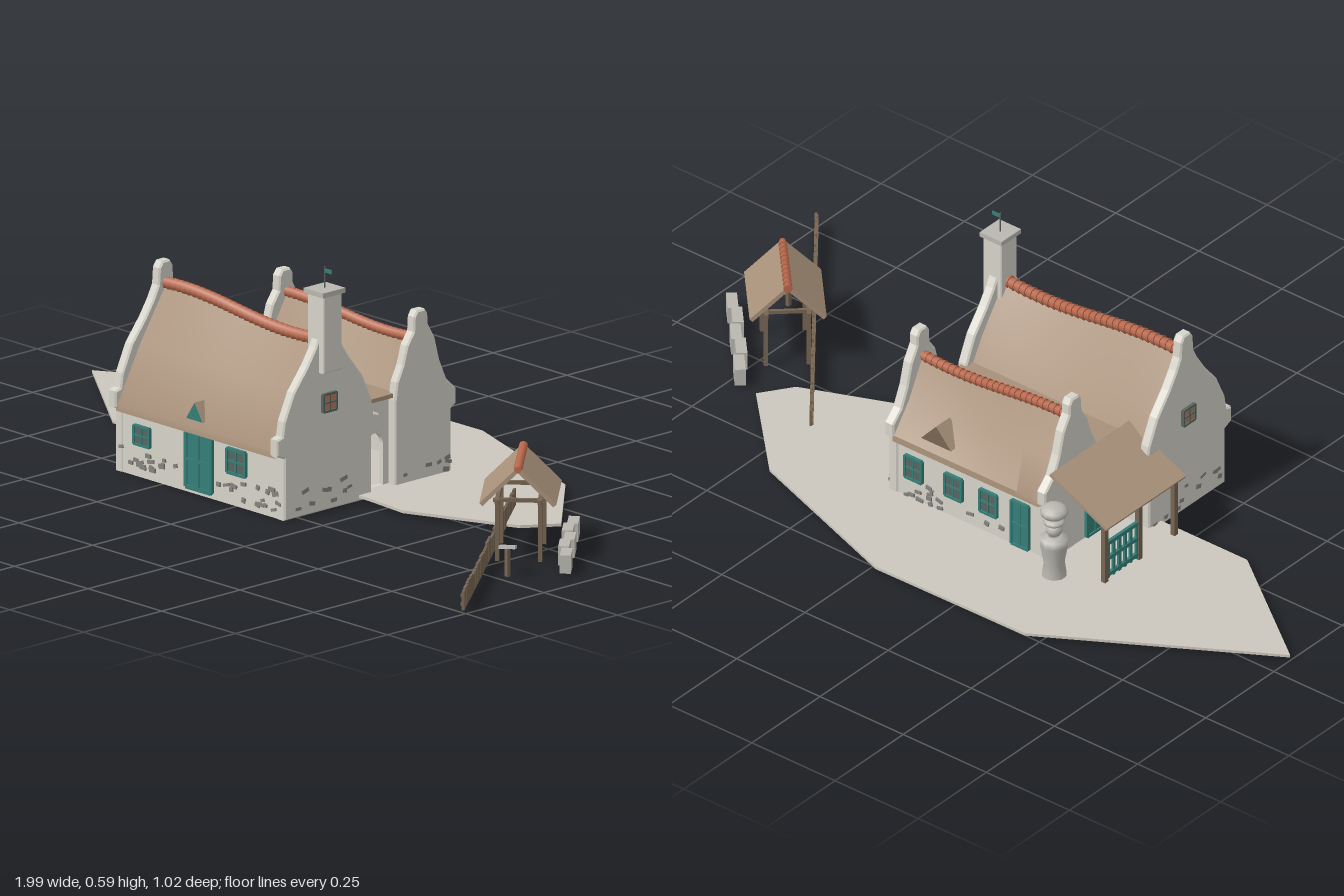
import * as THREE from 'three';
import { toCreasedNormals } from 'three/addons/utils/BufferGeometryUtils.js';

const mat = (name, color) => {
  const m = new THREE.MeshStandardMaterial({ color, side: THREE.DoubleSide });
  m.name = name;
  return m;
};
const M = {
  plaster: mat('plaster', 0xd6d3c9),
  ground: mat('ground', 0xcbc7bd),
  thatch: mat('thatch', 0xa9917a),
  tile: mat('terracotta', 0xb8684c),
  wood: mat('wood', 0x776552),
  teal: mat('teal paint', 0x357f78),
  stone: mat('stone', 0x85847f),
  frame: mat('window frame', 0x56655f),
  pane: mat('warm pane', 0xb9785c),
  paleStone: mat('pale stone', 0xb9b7af),
};

let seed = 7;
const rand = () => (seed = (seed * 16807) % 2147483647) / 2147483647;

export function createModel() {
  const root = new THREE.Group();

  function add(name, geo, material, pos = [0, 0, 0], parent = root) {
    const m = new THREE.Mesh(geo, material);
    m.name = name;
    m.position.set(...pos);
    parent.add(m);
    return m;
  }
  // Box given by its limits on each axis
  function box(name, material, x0, x1, y0, y1, z0, z1, parent = root) {
    return add(name, new THREE.BoxGeometry(x1 - x0, y1 - y0, z1 - z0), material,
      [(x0 + x1) / 2, (y0 + y1) / 2, (z0 + z1) / 2], parent);
  }
  // Plate with a [z, y] outline, from x1 back by depth
  function slabX(name, material, pts, x1, depth, bevel = 0) {
    const shape = new THREE.Shape(pts.map(p => new THREE.Vector2(...p)));
    const geo = new THREE.ExtrudeGeometry(shape, {
      depth: depth - 2 * bevel, bevelEnabled: bevel > 0, bevelSize: bevel,
      bevelThickness: bevel, bevelOffset: -bevel, bevelSegments: 1,
    });
    geo.rotateY(-Math.PI / 2);
    return add(name, geo, material, [x1 - bevel, 0, 0]);
  }
  // Roof sheet: section(x) gives the [z, y] points swept along x
  function sweptRoof(name, x0, x1, section) {
    const n = 20, pos = [], idx = [], k = section(x0).length;
    for (let i = 0; i <= n; i++) {
      const x = x0 + (x1 - x0) * i / n;
      section(x).forEach(([z, y]) => pos.push(x, y, z));
    }
    for (let i = 0; i < n; i++) for (let j = 0; j < k - 1; j++) {
      const a = i * k + j, b = a + k;
      idx.push(a, b, a + 1, b, b + 1, a + 1);
    }
    const geo = new THREE.BufferGeometry();
    geo.setAttribute('position', new THREE.Float32BufferAttribute(pos, 3));
    geo.setIndex(idx);
    add(name, toCreasedNormals(geo, 0.5), M.thatch);
  }
  // Overlapping ridge tiles following a height rule
  function ridgeTiles(name, x0, x1, z, height, r, count, parent = root) {
    const g = new THREE.Group();
    g.name = name;
    parent.add(g);
    const step = (x1 - x0) / count;
    for (let i = 0; i < count; i++) {
      const x = x0 + step * (i + 0.5);
      const geo = new THREE.CylinderGeometry(r, r * 0.75, step * 1.15, 8);
      geo.rotateZ(Math.PI / 2);
      const t = add('ridgeTile', geo, M.tile, [x, height(x), z], g);
      t.rotation.z = Math.atan2(height(x + 0.01) - height(x - 0.01), 0.02);
    }
  }
  // Window or door on a wall facing +z; turn gives other facings
  function opening(name, x, y, z, w, h, turn, fill, frame = M.frame) {
    const g = new THREE.Group();
    g.name = name;
    g.position.set(x, y, z);
    g.rotation.y = turn;
    root.add(g);
    box('panel', fill, -w / 2, w / 2, -h / 2, h / 2, 0, 0.004, g);
    const b = Math.min(w, h) * 0.12;
    for (const s of [-1, 1]) {
      box('side', frame, s * w / 2 - b / 2, s * w / 2 + b / 2, -h / 2, h / 2, 0, 0.008, g);
      box('rail', frame, -w / 2, w / 2, s * h / 2 - b / 2, s * h / 2 + b / 2, 0, 0.008, g);
    }
    box('mullion', frame, -b / 3, b / 3, -h / 2, h / 2, 0, 0.007, g);
    box('bar', frame, -w / 2, w / 2, -b / 3, b / 3, 0, 0.007, g);
  }

  // Ground sheet
  const land = [[-1, -0.19], [-0.465, -0.51], [-0.02, -0.515], [0.43, -0.355], [0.655, -0.13],
    [0.6, -0.05], [0.325, 0.065], [0.2, 0.055], [-0.67, 0.055]];
  const landGeo = new THREE.ExtrudeGeometry(new THREE.Shape(land.map(([x, z]) => new THREE.Vector2(x, -z))),
    { depth: 0.007, bevelEnabled: false });
  landGeo.rotateX(-Math.PI / 2);
  add('ground', landGeo, M.ground, [0, 0.008, 0]);

  // Front house: gables, walls, thatch
  const half = [[0.14, 0], [0.14, 0.15], [0.163, 0.16], [0.163, 0.2], [0.146, 0.205], [0.14, 0.24],
    [0.11, 0.305], [0.066, 0.36], [0.04, 0.4], [0.025, 0.43], [0.022, 0.47], [0.012, 0.485]];
  const frontGable = [...half.map(([d, y]) => [0.152 + d, y]),
    ...half.slice().reverse().map(([d, y]) => [0.152 - d, y])];
  slabX('frontHouseLeftGable', M.plaster, frontGable, 0.165, 0.027, 0.004);
  slabX('frontHouseRightGable', M.plaster, frontGable, -0.384, 0.027, 0.004);
  box('frontWall', M.plaster, -0.405, 0.16, 0, 0.165, 0.277, 0.29);
  box('frontHouseBackWall', M.plaster, -0.405, 0.16, 0, 0.22, 0.015, 0.028);
  const frontRidge = x => 0.418 + 0.015 * Math.cos((x + 0.33) * Math.PI / 0.37);
  sweptRoof('frontThatch', -0.388, 0.142, x => {
    const h = frontRidge(x);
    return [[0.285, 0.145], [0.31, 0.152], [0.308, 0.17], [0.235, h * 0.32 + 0.165], [0.152, h],
      [0.07, h * 0.32 + 0.165], [0.03, 0.225]];
  });
  ridgeTiles('frontRidge', -0.388, 0.14, 0.152, frontRidge, 0.016, 30);

  // Rear house: gables, walls, thatch
  const rearGable = [[-0.062, 0], [-0.062, 0.22], [-0.068, 0.262], [-0.087, 0.3], [-0.1, 0.345],
    [-0.121, 0.375], [-0.123, 0.41], [-0.133, 0.424], [-0.158, 0.424], [-0.167, 0.41], [-0.168, 0.385],
    [-0.19, 0.347], [-0.205, 0.29], [-0.227, 0.24], [-0.258, 0.21], [-0.258, 0.175], [-0.242, 0.165], [-0.242, 0]];
  slabX('rearHouseLeftGable', M.plaster, rearGable, 0.165, 0.027, 0.004);
  slabX('rearHouseRightGable', M.plaster, rearGable, -0.292, 0.027, 0.004);
  box('rearWall', M.plaster, -0.31, 0.155, 0.01, 0.18, -0.238, -0.225);
  const rearRidge = x => 0.358 + 0.011 * Math.cos((x + 0.27) * Math.PI / 0.32);
  sweptRoof('rearThatch', -0.296, 0.142, x => {
    const h = rearRidge(x);
    return [[-0.07, 0.222], [-0.11, h - 0.064], [-0.148, h], [-0.2, h - 0.1], [-0.255, 0.18],
      [-0.256, 0.164], [-0.23, 0.158]];
  });
  ridgeTiles('rearRidge', -0.296, 0.14, -0.148, rearRidge, 0.014, 26);

  // Link between the houses, with an arched passage on the left side
  box('linkRoof', M.thatch, -0.32, 0.155, 0.225, 0.235, -0.075, 0.045);
  box('linkRightWall', M.plaster, -0.318, -0.305, 0, 0.235, -0.1, 0.03);
  const link = new THREE.Shape();
  link.moveTo(-0.065, 0.01).lineTo(0.03, 0.01).lineTo(0.03, 0.228).lineTo(-0.065, 0.228);
  const arch = new THREE.Path();
  arch.moveTo(-0.045, 0.015).lineTo(-0.045, 0.115);
  arch.absarc(-0.015, 0.115, 0.03, Math.PI, 0, true);
  arch.lineTo(0.015, 0.015);
  link.holes.push(arch);
  const linkGeo = new THREE.ExtrudeGeometry(link, { depth: 0.012, bevelEnabled: false });
  linkGeo.rotateY(-Math.PI / 2);
  add('archWall', linkGeo, M.plaster, [0.14, 0, 0]);
  box('passageDoor', M.teal, 0.06, 0.12, 0.015, 0.14, 0.028, 0.033).rotation.y = 0;

  // Doors and windows
  opening('frontDoor', -0.125, 0.082, 0.29, 0.085, 0.135, 0, M.teal, M.teal);
  opening('frontWindow', -0.317, 0.102, 0.29, 0.052, 0.045, 0, M.frame, M.teal);
  opening('frontWindow', 0.003, 0.108, 0.29, 0.06, 0.058, 0, M.frame, M.teal);
  opening('doorInside', -0.125, 0.082, 0.277, 0.085, 0.135, Math.PI, M.teal, M.teal);
  for (const x of [-0.317, 0.003]) opening('windowInside', x, 0.105, 0.277, 0.055, 0.05, Math.PI, M.pane);
  opening('gableWindow', 0.165, 0.262, 0.152, 0.042, 0.042, Math.PI / 2, M.pane);
  opening('gableWindow', -0.411, 0.262, 0.152, 0.042, 0.042, -Math.PI / 2, M.pane);
  [0.09, -0.03, -0.135].forEach(x => opening('rearWindow', x, 0.1, -0.238, 0.05, 0.06, Math.PI, M.frame, M.teal));
  opening('rearDoor', -0.23, 0.08, -0.238, 0.05, 0.12, Math.PI, M.teal, M.teal);
  opening('porchDoor', -0.319, 0.085, -0.08, 0.06, 0.135, -Math.PI / 2, M.teal, M.teal);

  // Triangular dormers: face, then roof running back into the thatch
  function dormer(x, y, z, dir, face, w, h, depth) {
    const tri = new THREE.Shape([[-w, 0], [w, 0], [0, h]].map(p => new THREE.Vector2(...p)));
    const g = new THREE.Group();
    g.name = 'dormer';
    g.position.set(x, y, z);
    g.rotation.y = dir > 0 ? 0 : Math.PI;
    root.add(g);
    add('dormerFace', new THREE.ShapeGeometry(tri), face, [0, 0, 0.001], g);
    add('dormerRoof', new THREE.ExtrudeGeometry(tri, { depth, bevelEnabled: false }), M.thatch, [0, 0, -depth], g);
  }
  dormer(-0.125, 0.185, 0.306, 1, M.teal, 0.028, 0.043, 0.045);
  dormer(0.015, 0.205, -0.25, -1, M.wood, 0.045, 0.05, 0.05);

  // Chimney with cap and weather vane
  slabX('chimney', M.plaster, [[0.183, 0.338], [0.183, 0.526], [0.124, 0.526], [0.124, 0.338]], 0.182, 0.056, 0.003);
  box('chimneyCap', M.paleStone, 0.12, 0.186, 0.524, 0.536, 0.118, 0.189);
  add('vanePole', new THREE.CylinderGeometry(0.002, 0.002, 0.055, 6), M.frame, [0.152, 0.56, 0.152]);
  box('vane', M.teal, 0.152, 0.176, 0.573, 0.583, 0.151, 0.153);

  // Side porch: lean-to roof, posts, teal gate
  const porchRoof = box('porchRoof', M.thatch, -0.095, 0.095, -0.004, 0.004, -0.145, 0.1445);
  porchRoof.position.set(-0.405, 0.216, -0.097);
  porchRoof.rotation.z = 0.45;
  for (const z of [-0.225, -0.1, 0.03]) box('porchPost', M.wood, -0.477, -0.465, 0.012, 0.185, z - 0.006, z + 0.006);
  box('porchBeam', M.wood, -0.477, -0.465, 0.172, 0.184, -0.235, 0.04);
  for (let i = 0; i < 6; i++) box('gateBar', M.teal, -0.474, -0.468, 0.02, 0.12, -0.218 + i * 0.021, -0.21 + i * 0.021);
  for (const y of [0.025, 0.07, 0.112]) box('gateRail', M.teal, -0.475, -0.467, y, y + 0.01, -0.22, -0.105);

  // Stacked stone ornament at the rear corner
  const stack = [[0.03, 0.015], [0.025, 0.05], [0.034, 0.1], [0.034, 0.118], [0.014, 0.123]];
  add('stackBase', new THREE.LatheGeometry(stack.map(p => new THREE.Vector2(...p)), 10), M.paleStone, [-0.36, 0, -0.275]);
  [[0.14, 0.02, 0.018], [0.162, 0.026, 0.011], [0.19, 0.034, 0.019]].forEach(([y, r, h]) =>
    add('stackStone', new THREE.SphereGeometry(r, 12, 8), M.paleStone, [-0.36, y, -0.275]).scale.y = h / r);

  // Bare stones showing through the plaster
  function bareStones(count, place) {
    for (let i = 0; i < count; i++) {
      const [x, y, z, turn] = place(rand(), rand() ** 1.6 * 0.05 + 0.018);
      const s = add('bareStone', new THREE.BoxGeometry(0.01 + rand() * 0.012, 0.007 + rand() * 0.005, 0.008), M.stone, [x, y, z]);
      s.rotation.set(0, turn, 0);
      s.rotateZ((rand() - 0.5) * 0.7);
    }
  }
  bareStones(16, (t, y) => [-0.39 + t * 0.2, y, 0.29, 0]);
  bareStones(16, (t, y) => [-0.06 + t * 0.21, y, 0.29, 0]);
  bareStones(9, (t, y) => [0.164, y, 0.03 + t * 0.24, Math.PI / 2]);
  bareStones(7, (t, y) => [0.164, y, -0.23 + t * 0.15, Math.PI / 2]);
  bareStones(10, (t, y) => [-0.41, y, 0.03 + t * 0.24, Math.PI / 2]);
  bareStones(14, (t, y) => [-0.19 + t * 0.33, y, -0.238, 0]);

  // Open shelter with tiled ridge and low stone wall
  const shelter = new THREE.Group();
  shelter.name = 'shelter';
  shelter.position.set(0.735, 0, 0.075);
  shelter.rotation.y = -0.82;
  root.add(shelter);
  for (const s of [-1, 1]) {
    const side = box('shelterRoof', M.wood, -0.1, 0.1, -0.005, 0.005, -0.061, 0.061, shelter);
    side.material = M.thatch;
    side.position.set(0, 0.191, s * 0.043);
    side.rotation.x = s * 0.78;
    box('shelterBeam', M.wood, -0.095, 0.095, 0.148, 0.158, s * 0.05 - 0.005, s * 0.05 + 0.005, shelter);
    for (const t of [-1, 1])
      box('shelterPost', M.wood, t * 0.072 - 0.005, t * 0.072 + 0.005, 0.005, 0.152, s * 0.05 - 0.005, s * 0.05 + 0.005, shelter);
    box('tieBeam', M.wood, s * 0.072 - 0.004, s * 0.072 + 0.004, 0.148, 0.157, -0.06, 0.06, shelter);
  }
  ridgeTiles('shelterRidge', -0.1, 0.1, 0, () => 0.234, 0.011, 11, shelter);
  for (let i = 0; i < 5; i++) {
    const x = -0.155 + i * 0.065, z = -0.115 + (i % 2) * 0.008;
    box('lowWall', M.paleStone, x, x + 0.064, 0.005, 0.049 + (i % 2) * 0.003, z - 0.013, z + 0.013, shelter);
  }

  // Tilted slab on a short post
  box('slabPost', M.wood, 0.84, 0.85, 0, 0.068, 0.215, 0.225);
  const slab = add('slab', new THREE.BoxGeometry(0.05, 0.008, 0.038), M.paleStone, [0.845, 0.071, 0.22]);
  slab.rotation.set(0, -0.85, 0.25);

  // Plank fence
  const fence = new THREE.Group();
  fence.name = 'fence';
  fence.position.set(0.47, 0, -0.155);
  fence.rotation.y = -Math.atan2(0.66, 0.525);
  root.add(fence);
  for (let i = 0; i < 42; i++)
    box('plank', M.wood, i * 0.02, i * 0.02 + 0.0175, 0.006, 0.048 + rand() * 0.01, -0.003, 0.003, fence);
  for (const y of [0.018, 0.038]) box('fenceRail', M.wood, 0, 0.84, y, y + 0.006, 0.002, 0.006, fence);

  return root;
}
